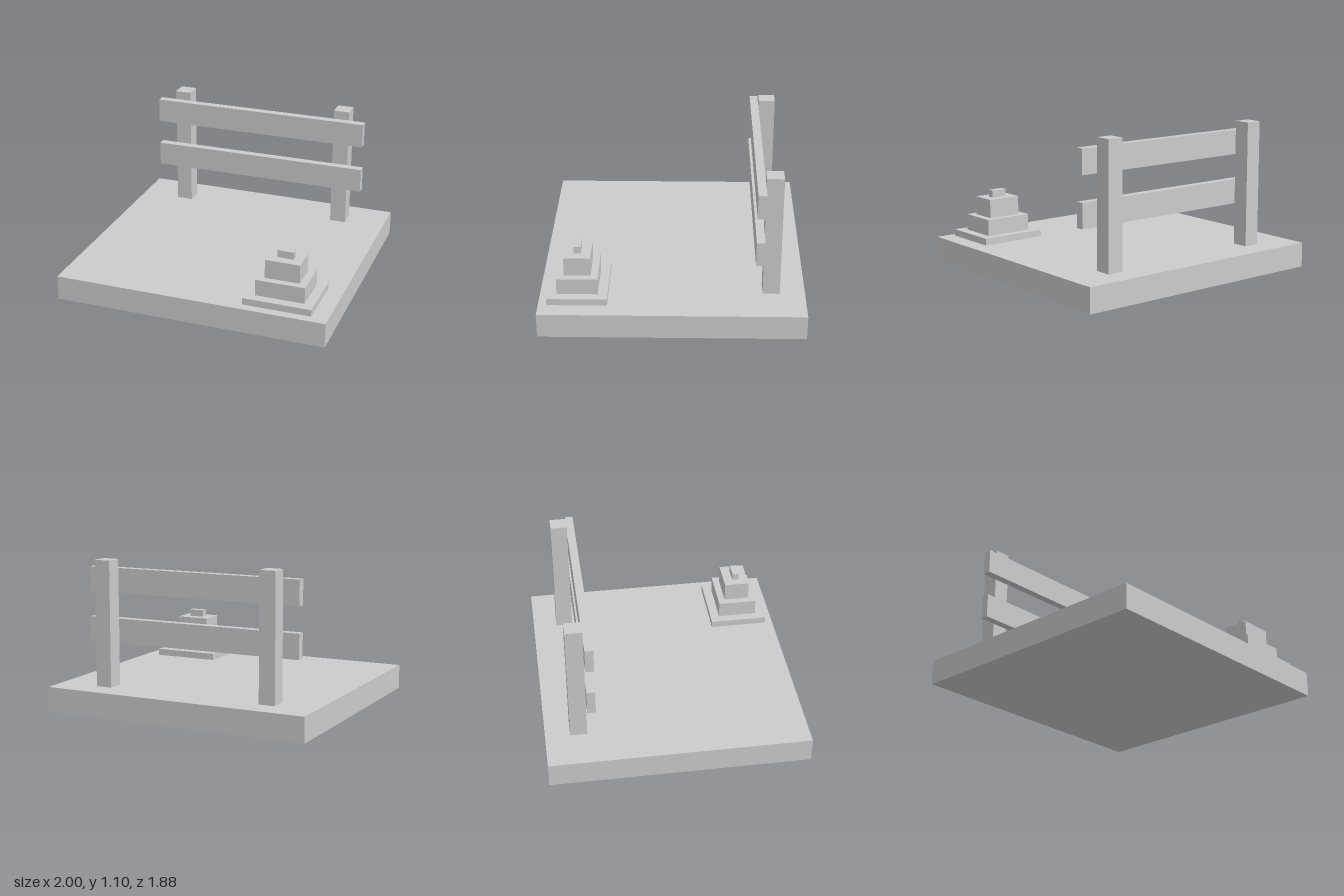
import * as THREE from 'three';

const material = new THREE.MeshStandardMaterial({ color: 0xcccccc, flatShading: true });

// Box given by its width, height, depth and the centre of its underside
function block(name, [w, h, d], [x, y, z]) {
  const mesh = new THREE.Mesh(new THREE.BoxGeometry(w, h, d), material);
  mesh.name = name;
  mesh.position.set(x, y + h / 2, z);
  return mesh;
}

export function createModel() {
  const model = new THREE.Group();
  model.name = 'fenceAndCone';
  const baseTop = 0.182;

  // Ground slab
  model.add(block('groundSlab', [2, baseTop, 1.88], [0, 0, 0]));

  // Fence: two posts with two rails fixed to their front faces
  const fence = new THREE.Group();
  fence.name = 'fence';
  for (const [side, x] of [['left', 0.644], ['right', -0.646]]) {
    fence.add(block(`${side}Post`, [0.12, 0.916, 0.122], [x, baseTop, -0.699]));
  }
  for (const [level, y] of [['lower', 0.487], ['upper', 0.853]]) {
    fence.add(block(`${level}Rail`, [1.654, 0.18, 0.06], [0, y, -0.608]));
  }
  model.add(fence);

  // Stepped block cone: stacked tiers of [name, width, height, depth]
  const cone = new THREE.Group();
  cone.name = 'steppedCone';
  cone.position.set(0.635, baseTop + 0.003, 0.667);
  const tiers = [
    ['coneFoot', 0.494, 0.05, 0.426],
    ['coneLowerTier', 0.358, 0.12, 0.29],
    ['coneUpperTier', 0.252, 0.138, 0.188],
    ['coneTip', 0.118, 0.053, 0.049],
  ];
  let y = 0;
  for (const [name, w, h, d] of tiers) {
    cone.add(block(name, [w, h, d], [0, y, 0]));
    y += h;
  }
  model.add(cone);

  return model;
}
